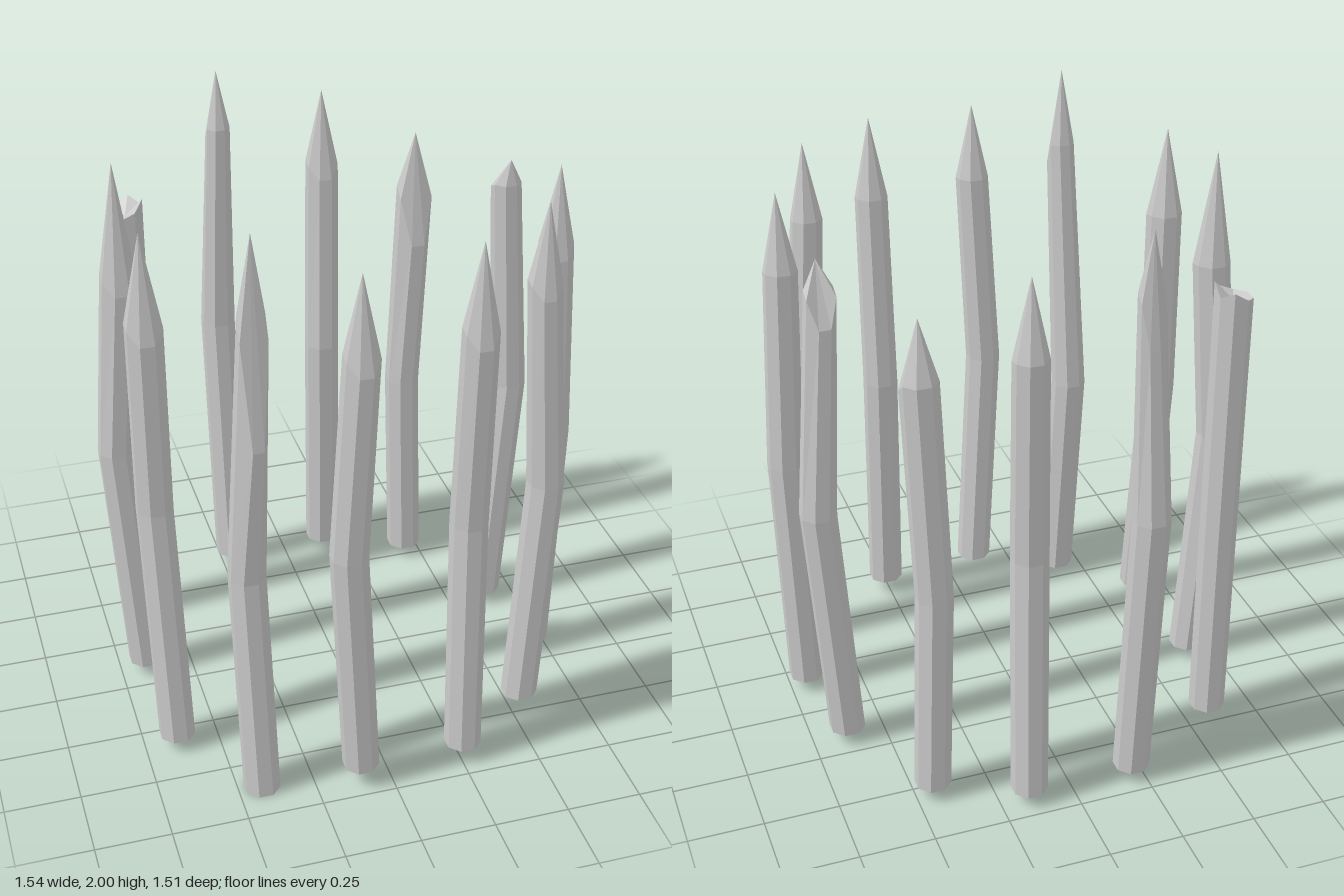
import * as THREE from 'three';

const SIDES = 8;
const RADIUS = 0.061;
const material = new THREE.MeshStandardMaterial({ color: 0xcccccc, flatShading: true, side: THREE.DoubleSide });

// Ring of corners around a centre; lift(angle) shifts single corners up or down
function ring([x, y, z], r, lift = () => 0) {
  return Array.from({ length: SIDES }, (_, i) => {
    const a = ((i + 0.5) / SIDES) * Math.PI * 2;
    return [x + r * Math.cos(a), y + lift(a), z + r * Math.sin(a)];
  });
}

// Skin a stack of rings, closed by a bottom centre and a top point
function post(name, rings, bottom, top) {
  const pos = [];
  const tri = (a, b, c) => pos.push(...a, ...b, ...c);
  const last = rings[rings.length - 1];
  for (let i = 0; i < SIDES; i++) {
    const j = (i + 1) % SIDES;
    tri(bottom, rings[0][i], rings[0][j]);
    for (let k = 0; k + 1 < rings.length; k++) {
      const lo = rings[k], hi = rings[k + 1];
      tri(lo[i], hi[i], lo[j]);
      tri(lo[j], hi[i], hi[j]);
    }
    tri(last[i], top, last[j]);
  }
  const geo = new THREE.BufferGeometry();
  geo.setAttribute('position', new THREE.Float32BufferAttribute(pos, 3));
  geo.computeVertexNormals();
  const mesh = new THREE.Mesh(geo, material);
  mesh.name = name;
  return mesh;
}

// Sharpened stake standing at x, z. bend and top are sideways shifts of its middle and head;
// the pointing cut starts at shoulder and runs down by dip on the front (or back, if negative).
function stake(name, x, z, { bend, top = [0, 0], shoulder = 1.62, tip = 1.88, dip = 0.06, lean = 0, footY = 0.045, bendY = 0.92 }) {
  const at = ([dx, dz], y) => [x + dx, y, z + dz];
  const foot = at([0, 0], footY);
  const point = at([top[0], top[1] + lean], tip);
  const cut = (a) => -Math.abs(dip) * Math.max(0, Math.sin(a) * Math.sign(dip)) ** 2;
  const headRadius = RADIUS - 0.09 * Math.max(0, shoulder - 1.57); // thinner the higher it reaches
  return post(name, [
    ring(foot, RADIUS),
    ring(at(bend, bendY), RADIUS),
    ring(at(top, shoulder), headRadius, cut),
  ], foot, point);
}

// Straight stake with a snapped top, its rim rising in two splinters
function brokenStake(name, x, z) {
  const foot = [x, 0.045, z];
  const splinter = (a) => 0.055 * Math.max(0, Math.cos(a - 0.5)) ** 4 + 0.04 * Math.max(0, Math.cos(a + 1.2)) ** 4;
  return post(name, [ring(foot, RADIUS), ring([x, 1.605, z], RADIUS, splinter)], foot, [x, 1.595, z]);
}

export function createModel() {
  const group = new THREE.Group();
  group.name = 'stakeCircle';

  group.add(
    // Left side, back to front
    stake('leftBackStake', 0.63, -0.16, { bend: [0.06, -0.01], top: [0.013, 0], shoulder: 1.69, tip: 1.78, dip: -0.13, lean: 0.035 }),
    stake('leftStake', 0.69, 0.17, { bend: [0.025, 0] }),
    stake('leftFrontStake', 0.53, 0.47, { bend: [0.045, 0], shoulder: 1.65, tip: 1.91, footY: 0.07 }),
    // Front
    stake('frontLeftStake', 0.26, 0.65, { bend: [0, -0.03], tip: 1.9, footY: 0.06 }),
    stake('frontStake', -0.1, 0.67, { bend: [-0.05, 0.02], top: [-0.02, 0.035], footY: 0.07 }),
    stake('frontRightStake', -0.42, 0.61, { bend: [-0.02, -0.045], top: [0.005, 0.005], shoulder: 1.74, tip: 2, dip: 0.5, footY: 0, bendY: 0.82 }),
    // Right side
    stake('rightFrontStake', -0.64, 0.325, { bend: [-0.022, -0.058], top: [-0.025, -0.05], shoulder: 1.58 }),
    stake('rightStake', -0.66, -0.1, { bend: [-0.055, -0.007], top: [-0.01, 0], shoulder: 1.56, tip: 1.94 }),
    brokenStake('brokenStake', -0.58, -0.45),
    // Back
    stake('backRightStake', -0.21, -0.66, { bend: [-0.015, -0.04], top: [0, -0.008], shoulder: 1.78, tip: 1.98, dip: -0.2, bendY: 1.03 }),
    stake('backStake', 0.15, -0.66, { bend: [-0.01, 0.04], top: [0, 0.013] }),
    stake('backLeftStake', 0.44, -0.53, { bend: [-0.02, 0], top: [0.01, 0.005], shoulder: 1.54, tip: 1.74, dip: 0.24, bendY: 0.78 }),
  );
  return group;
}
